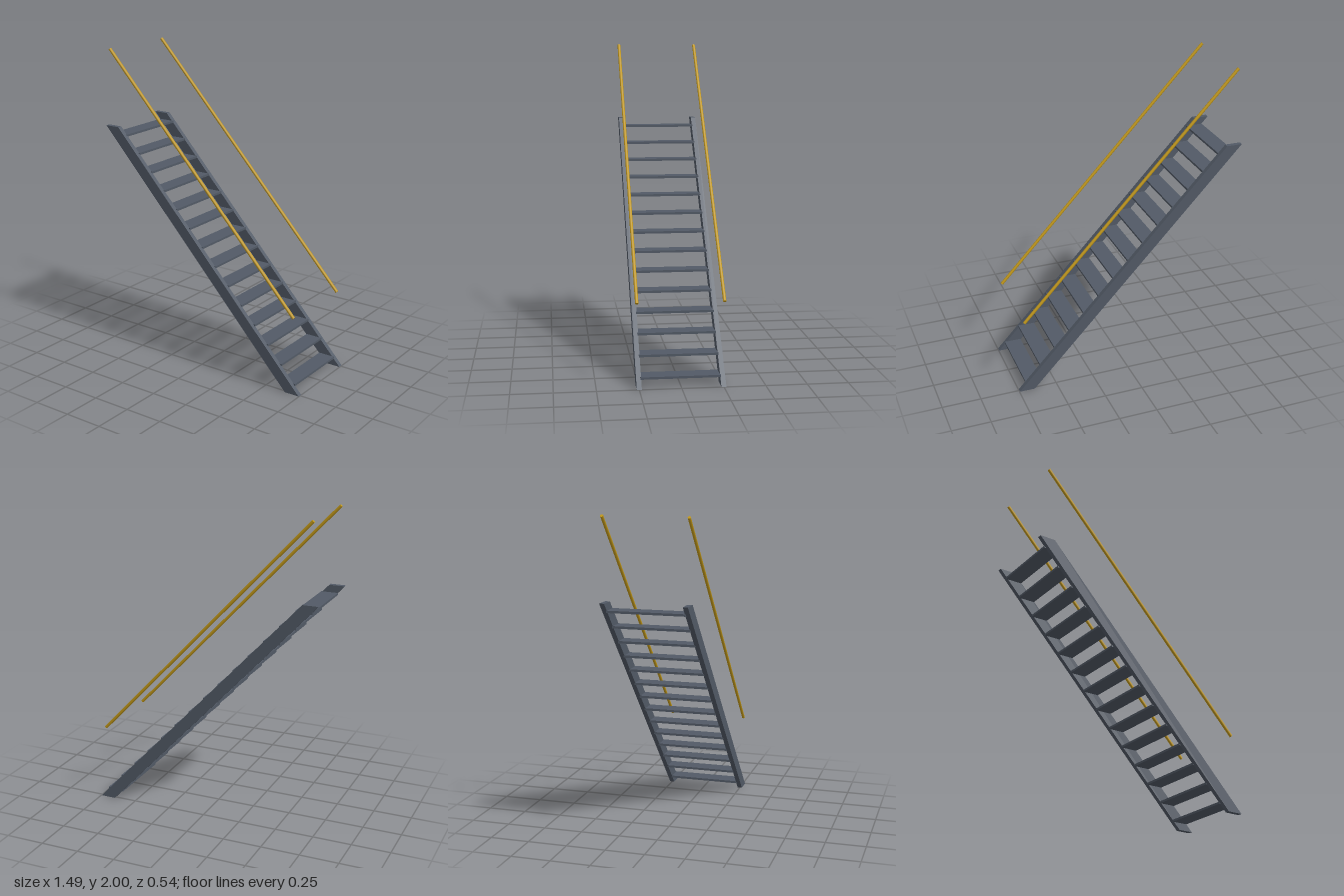
import * as THREE from 'three';

export function createModel() {
  const group = new THREE.Group();
  const steel = new THREE.MeshStandardMaterial({ color: 0x525a66 });
  steel.name = 'slate steel';
  const gold = new THREE.MeshStandardMaterial({ color: 0xc49a1a });
  gold.name = 'golden yellow';

  const rise = 1.495, run = 1.4, steps = 14;
  const add = (name, geometry, material) => {
    const mesh = new THREE.Mesh(geometry, material);
    mesh.name = name;
    group.add(mesh);
    return mesh;
  };

  // Slanted side beam outline, cut level at floor and landing
  const outline = new THREE.Shape([
    new THREE.Vector2(0.647, 0),
    new THREE.Vector2(0.747, 0),
    new THREE.Vector2(-0.647, rise),
    new THREE.Vector2(-0.747, rise),
  ]);
  const thick = 0.03;
  const beam = new THREE.ExtrudeGeometry(outline, { depth: thick, bevelEnabled: false });
  beam.translate(0, 0, -thick / 2);

  // Handrail follows the same slope as the beams
  const top = new THREE.Vector3(-run / 2, 1.993, 0);
  const bottom = new THREE.Vector3(run / 2 - 0.003, 0.503, 0);
  const slope = top.clone().sub(bottom);
  const rail = new THREE.CylinderGeometry(0.01, 0.01, slope.length(), 8);

  for (const [side, s] of [['front', 1], ['back', -1]]) {
    add(side + 'Stringer', beam, steel).position.z = s * 0.25;
    const handrail = add(side + 'Handrail', rail, gold);
    handrail.position.copy(top).add(bottom).multiplyScalar(0.5).setZ(s * 0.259);
    handrail.quaternion.setFromUnitVectors(new THREE.Vector3(0, 1, 0), slope.clone().normalize());
  }

  // Open treads spanning between the beams
  const tread = new THREE.BoxGeometry(0.108, 0.014, 0.48);
  for (let i = 0; i < steps; i++) {
    const t = (i + 0.5) / steps;
    add('tread' + (i + 1), tread, steel).position.set(run / 2 - run * t, rise * t, 0);
  }
  return group;
}
